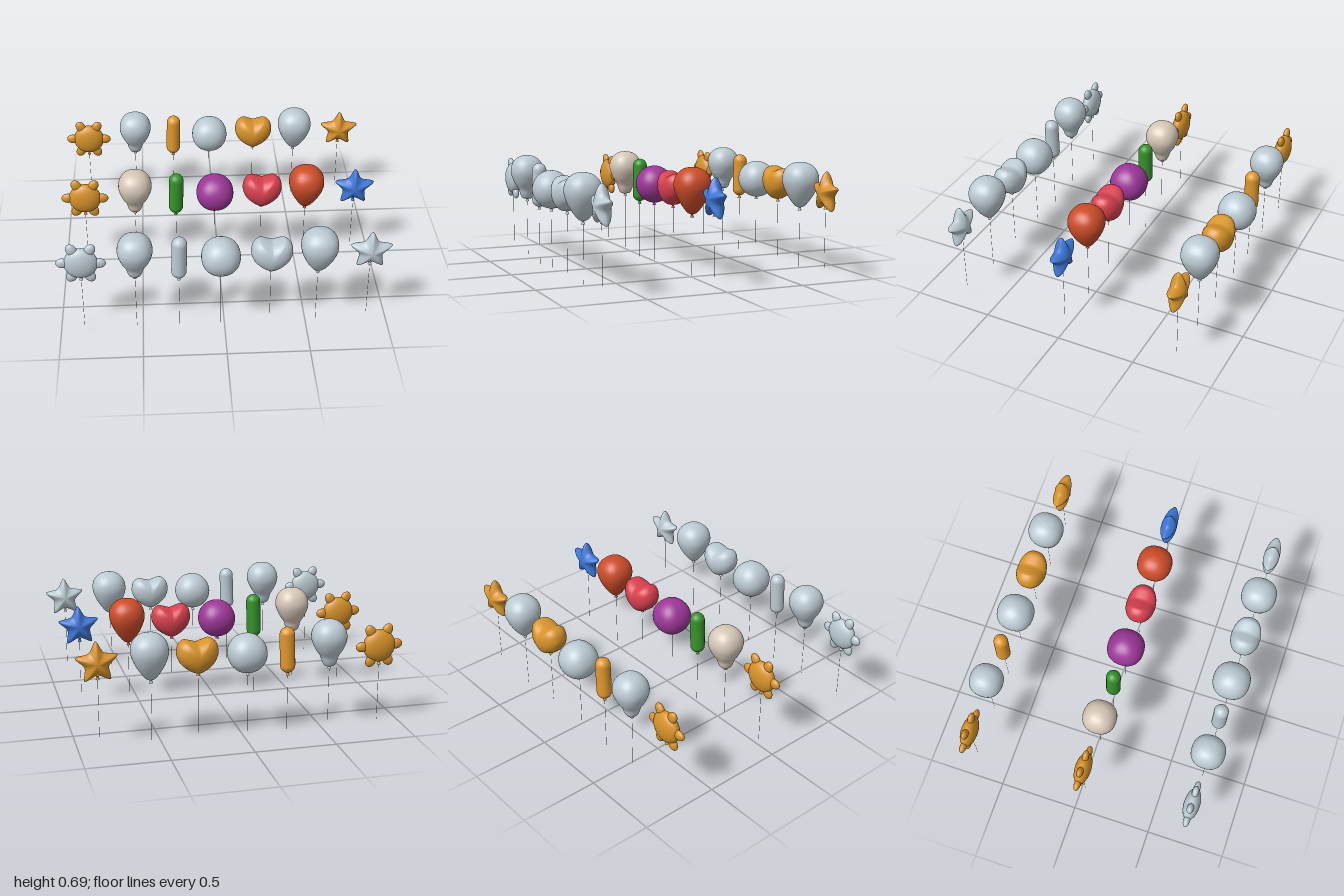
import * as THREE from 'three';
import { mergeVertices } from 'three/addons/utils/BufferGeometryUtils.js';

const mat = (name, color) => {
  const m = new THREE.MeshStandardMaterial({ color });
  m.name = name;
  return m;
};

// Weld seams and recompute smooth normals
function smooth(geo) {
  geo.deleteAttribute('normal');
  geo.deleteAttribute('uv');
  const g = mergeVertices(geo, 1e-5);
  g.computeVertexNormals();
  return g;
}

const vectors = (pts) => pts.map(([x, y]) => new THREE.Vector2(x, y));

// Round balloon skin: lathe with a slightly squared cross-section
function latheBody(pts, squareness = 2.3) {
  const profile = new THREE.SplineCurve(vectors(pts)).getPoints(32);
  profile.forEach((p) => { p.x = Math.max(p.x, 0); });
  const geo = new THREE.LatheGeometry(profile, 40);
  const pos = geo.attributes.position;
  for (let i = 0; i < pos.count; i++) {
    const x = pos.getX(i), z = pos.getZ(i), r = Math.hypot(x, z);
    if (r < 1e-6) continue;
    const k = 1 / Math.pow(Math.abs(x / r) ** squareness + Math.abs(z / r) ** squareness, 1 / squareness);
    pos.setX(i, x * k);
    pos.setZ(i, z * k);
  }
  return smooth(geo);
}

// Foil balloon skin: an outline (counter-clockwise) puffed out to front and back
function puffBody(pts, depth, power, centreY) {
  const curve = new THREE.CatmullRomCurve3(pts.map(([x, y]) => new THREE.Vector3(x, y, 0)), true, 'catmullrom', 0.4);
  const geo = new THREE.SphereGeometry(1, 60, 28);
  const pos = geo.attributes.position, uv = geo.attributes.uv;
  for (let i = 0; i < pos.count; i++) {
    const p = curve.getPoint(((uv.getX(i) % 1) + 1) % 1);
    const v = (1 - uv.getY(i)) * Math.PI;
    const s = Math.sin(v), c = Math.cos(v);
    pos.setXYZ(i, p.x * s, p.y * s + centreY, depth * Math.sign(c) * Math.abs(c) ** power);
  }
  return smooth(geo);
}

function ellipsePoints(rx, ry, n) {
  return Array.from({ length: n + 1 }, (_, i) => {
    const a = (i / n) * Math.PI;
    return [i % n ? rx * Math.sin(a) : 0, ry - ry * Math.cos(a)];
  });
}

export function createModel() {
  const silver = mat('silver', 0xbccad2);
  const gold = mat('gold', 0xd8932a);
  const amber = mat('amber', 0xe2982c);
  const beige = mat('beige', 0xd6c8b8);
  const green = mat('green', 0x36942a);
  const magenta = mat('magenta', 0x9c3698);
  const red = mat('red', 0xd8404f);
  const vermilion = mat('vermilion', 0xcc4c28);
  const blue = mat('blue', 0x3c76d6);
  const cord = mat('cord', 0x8a8a86);

  const ball = new THREE.SphereGeometry(1, 32, 20);

  // Star and heart outlines
  const starPts = Array.from({ length: 10 }, (_, i) => {
    const a = Math.PI / 2 + (i * Math.PI) / 5, r = i % 2 ? 0.075 : 0.131;
    return [r * Math.cos(a), r * Math.sin(a)];
  });
  const heartLeft = [[-0.035, 0.09], [-0.08, 0.1], [-0.115, 0.07], [-0.125, 0.015], [-0.105, -0.04], [-0.06, -0.083], [-0.02, -0.104]];
  const heartPts = [[0, 0.08], ...heartLeft, [0, -0.108], ...heartLeft.map(([x, y]) => [-x, y]).reverse()];

  // Balloon kinds, left to right; geometry starts at the knot (y = 0)
  const kinds = [
    { name: 'flowerBalloon', x: -0.856, base: 0.4, colors: [silver, gold, gold] },
    {
      name: 'pearBalloon', x: -0.537, base: 0.4, colors: [silver, beige, silver],
      geo: latheBody([[0, 0], [0.03, 0.004], [0.045, 0.03], [0.056, 0.065], [0.086, 0.115], [0.106, 0.18], [0.092, 0.24], [0.052, 0.279], [0, 0.29]]),
    },
    {
      name: 'tubeBalloon', x: -0.275, base: 0.378, colors: [silver, green, amber],
      geo: smooth(new THREE.CapsuleGeometry(0.046, 0.192, 10, 28).translate(0, 0.142, 0)),
    },
    { name: 'roundBalloon', x: -0.026, base: 0.4, colors: [silver, magenta, silver], geo: latheBody(ellipsePoints(0.118, 0.12, 16)) },
    { name: 'heartBalloon', x: 0.277, base: 0.422, colors: [silver, red, gold], geo: puffBody(heartPts, 0.094, 0.85, 0.108) },
    {
      name: 'dropBalloon', x: 0.56, base: 0.4, colors: [silver, vermilion, silver],
      geo: latheBody([[0, 0], [0.03, 0.012], [0.07, 0.065], [0.1, 0.125], [0.112, 0.182], [0.098, 0.237], [0.056, 0.277], [0, 0.29]]),
    },
    { name: 'starBalloon', x: 0.872, base: 0.447, colors: [silver, blue, gold], geo: puffBody(starPts, 0.051, 1.25, 0.083) },
  ];

  // Tied knot: flared lip under a small ring
  const lipGeo = new THREE.CylinderGeometry(0.004, 0.012, 0.018, 16).translate(0, -0.009, 0);
  const ringGeo = new THREE.TorusGeometry(0.006, 0.003, 8, 16).rotateX(Math.PI / 2);
  const stringLength = 0.36;
  const stringGeo = new THREE.CylinderGeometry(0.001, 0.001, stringLength, 6).translate(0, -0.018 - stringLength / 2, 0);

  function add(parent, name, geo, material) {
    const m = new THREE.Mesh(geo, material);
    m.name = name;
    parent.add(m);
    return m;
  }

  // Flower: flattened core with six petals
  function addFlower(parent, material) {
    const core = add(parent, 'core', ball, material);
    core.position.y = 0.103;
    core.scale.set(0.102, 0.102, 0.05);
    for (let i = 0; i < 6; i++) {
      const a = (i * Math.PI) / 3;
      const petal = add(parent, 'petal', ball, material);
      petal.position.set(0.107 * Math.cos(a), 0.103 + 0.107 * Math.sin(a), 0);
      petal.rotation.z = a;
      petal.scale.set(0.042, 0.032, 0.021);
    }
  }

  const model = new THREE.Group();
  model.name = 'balloonSet';
  [0.724, 0.022, -0.726].forEach((z, row) => {
    for (const kind of kinds) {
      const material = kind.colors[row];
      const balloon = new THREE.Group();
      balloon.name = kind.name;
      balloon.position.set(kind.x, kind.base, z);

      // Body leans slightly over its string
      const body = new THREE.Group();
      body.name = 'body';
      body.rotation.z = -0.03;
      if (kind.geo) add(body, 'skin', kind.geo, material);
      else addFlower(body, material);
      add(body, 'knotLip', lipGeo, material);
      add(body, 'knotRing', ringGeo, material);

      balloon.add(body);
      add(balloon, 'string', stringGeo, cord);
      model.add(balloon);
    }
  });
  return model;
}
